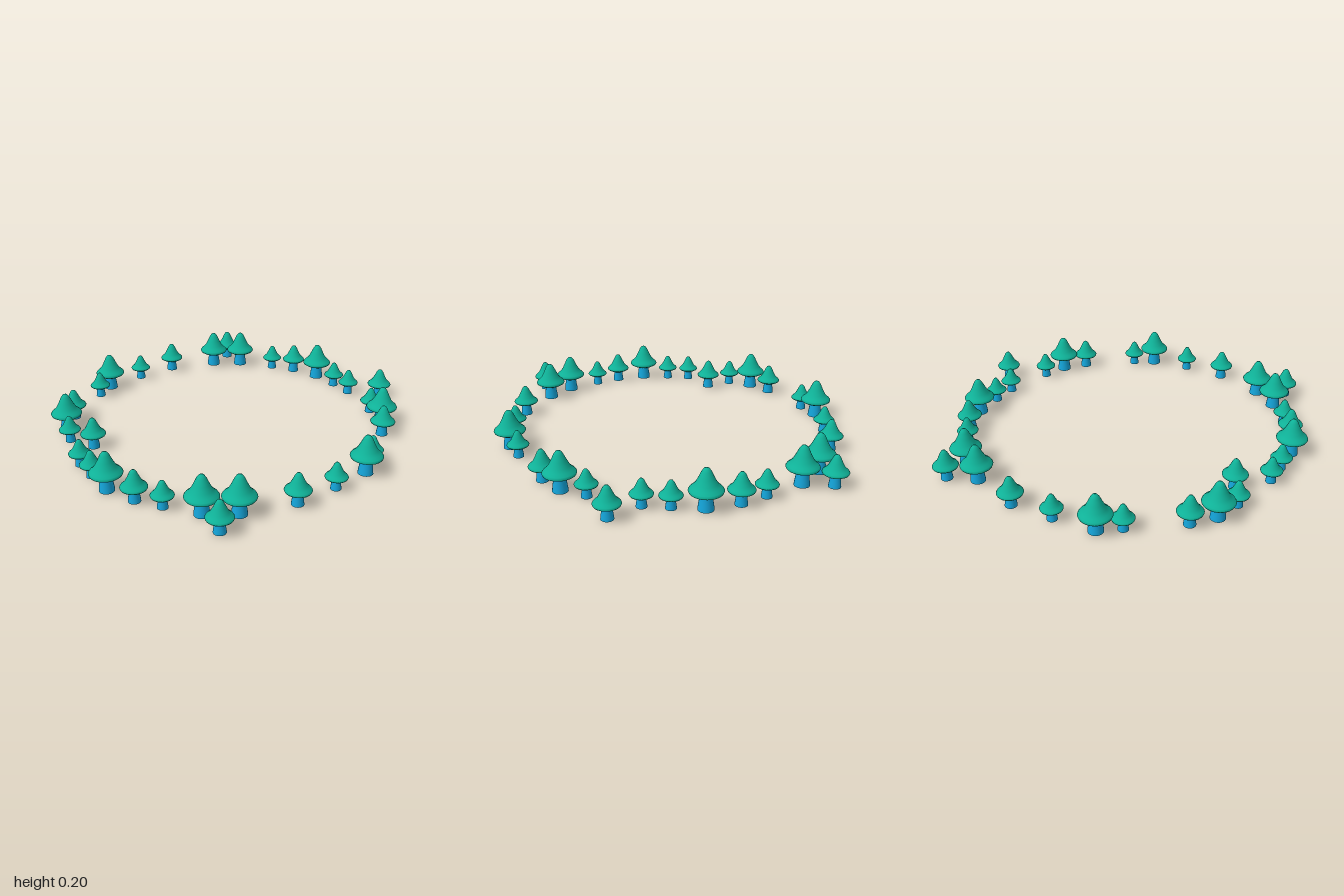
import * as THREE from 'three';

const v = (pts) => pts.map(([x, y]) => new THREE.Vector2(x, y));

// Mushroom positions [x, z] around the ring, grouped by size
const ring = [
  { name: 'largeMushroom', scale: 1, spots: [
    [-0.30, -0.79], [-0.145, -0.84], [0.345, -0.765], [0.775, -0.26],
    [0.76, 0.29], [0.28, 0.785], [0.125, 0.83], [-0.345, 0.76],
    [-0.78, 0.26], [-0.773, -0.29]] },
  { name: 'mediumMushroom', scale: 0.8, spots: [
    [-0.255, -0.937], [0.195, -0.82], [0.73, -0.59], [0.795, -0.125],
    [0.505, 0.64], [0.235, 0.935], [-0.192, 0.81], [-0.57, 0.40],
    [-0.803, 0.125], [-0.523, -0.645]] },
  { name: 'smallMushroom', scale: 0.69, spots: [
    [0.06, -0.832], [0.462, -0.672], [0.557, -0.587], [0.706, -0.375],
    [0.775, 0.17], [0.647, 0.467], [-0.055, 0.825], [-0.462, 0.667],
    [-0.557, 0.584], [-0.71, 0.373], [-0.784, -0.17], [-0.657, -0.47]] },
];

export function createModel() {
  const capColor = new THREE.MeshStandardMaterial({ color: 0x0fb298 });
  capColor.name = 'teal cap';
  const stemColor = new THREE.MeshStandardMaterial({ color: 0x14a5da });
  stemColor.name = 'blue stem';

  // Bell-shaped cap, flaring to a thin brim with a shallow underside
  const capGeo = new THREE.LatheGeometry(v([
    [0.02, 0.066], [0.036, 0.068], [0.06, 0.077], [0.076, 0.086], [0.079, 0.093],
    [0.074, 0.101], [0.062, 0.111], [0.049, 0.126], [0.035, 0.153],
    [0.022, 0.182], [0.012, 0.196], [0, 0.201]]), 32);

  // Tapered stem with a closed foot
  const stemGeo = new THREE.LatheGeometry(v([
    [0, 0], [0.037, 0], [0.037, 0], [0.035, 0.02], [0.031, 0.045], [0.029, 0.075]]), 24);

  const model = new THREE.Group();
  model.name = 'mushroomRing';
  for (const { name, scale, spots } of ring) {
    for (const [x, z] of spots) {
      const mushroom = new THREE.Group();
      mushroom.name = name;
      const cap = new THREE.Mesh(capGeo, capColor);
      cap.name = 'cap';
      const stem = new THREE.Mesh(stemGeo, stemColor);
      stem.name = 'stem';
      mushroom.add(cap, stem);
      mushroom.scale.setScalar(scale);
      mushroom.position.set(x, 0, z);
      model.add(mushroom);
    }
  }
  return model;
}
